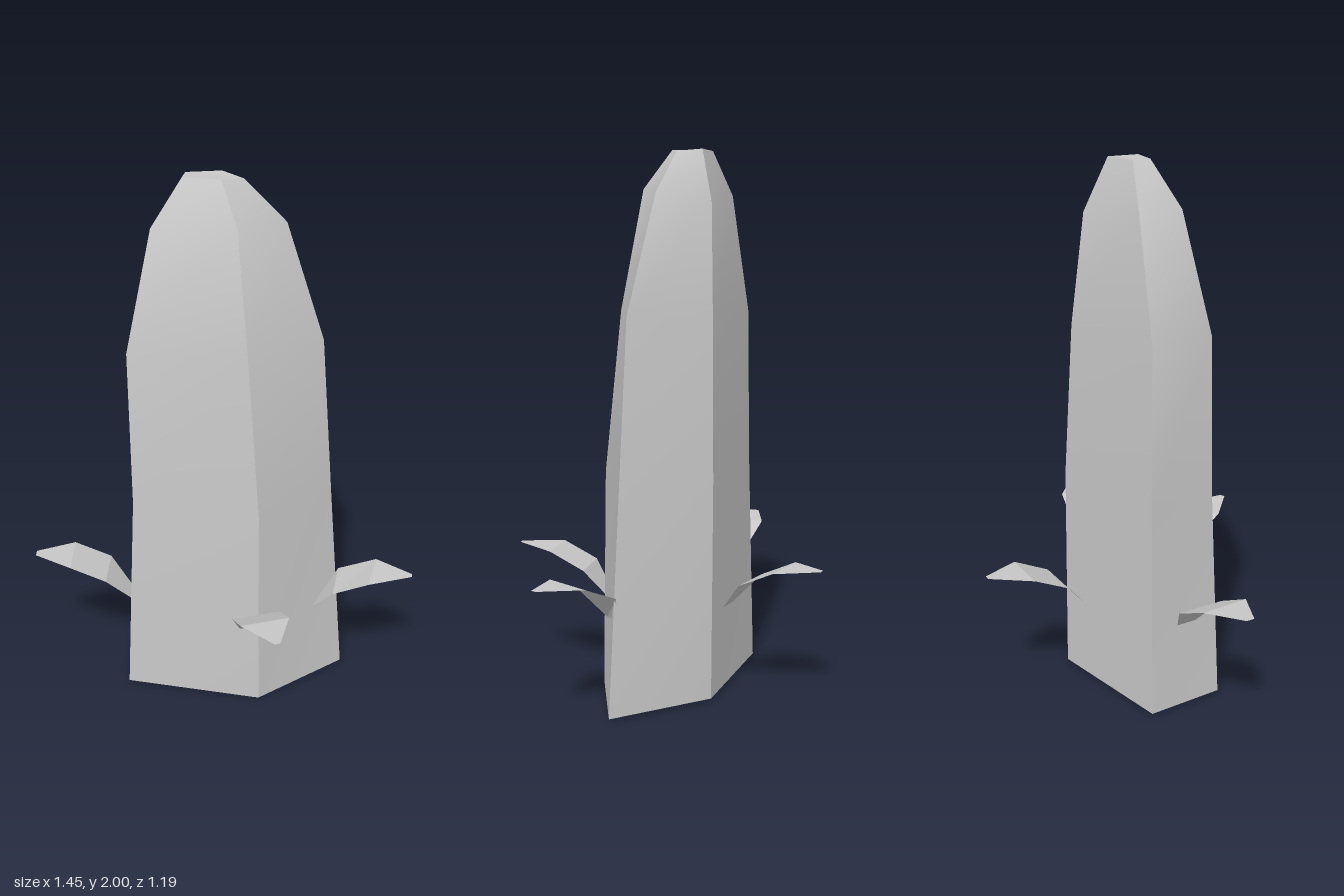
import * as THREE from 'three';
import { toCreasedNormals } from 'three/addons/utils/BufferGeometryUtils.js';

const grey = new THREE.MeshStandardMaterial({ color: 0xc8c8c8, side: THREE.DoubleSide });
grey.name = 'pale grey';

// Joins equal-length cross-sections into a surface; closed ones wrap round and get caps
function loft(rings, closed) {
  const n = rings[0].length, index = [];
  for (let r = 0; r < rings.length - 1; r++) {
    for (let j = 0; j < (closed ? n : n - 1); j++) {
      const k = (j + 1) % n, a = r * n + j, b = r * n + k;
      index.push(a, b, b + n, a, b + n, a + n);
    }
  }
  if (closed) {
    const top = (rings.length - 1) * n;
    for (let j = 1; j < n - 1; j++) index.push(0, j + 1, j, top, top + j, top + j + 1);
  }
  const g = new THREE.BufferGeometry();
  g.setAttribute('position', new THREE.Float32BufferAttribute(rings.flat(2), 3));
  g.setIndex(index);
  return toCreasedNormals(g, closed ? 0.52 : 0.05);
}

function part(name, geometry) {
  const mesh = new THREE.Mesh(geometry, grey);
  mesh.name = name;
  return mesh;
}

export function createModel() {
  const model = new THREE.Group();
  model.name = 'spearShoot';

  // Five-sided tapering stalk: back left, front left, front, right, back corners
  model.add(part('stalk', loft([
    [[-0.37, 0.01, -0.14], [-0.365, 0.01, 0.16], [0.15, 0.0, 0.245], [0.485, 0.01, 0.01], [0.14, 0.01, -0.215]],
    [[-0.34, 0.82, -0.13], [-0.325, 0.82, 0.14], [0.14, 0.82, 0.235], [0.415, 0.82, 0.005], [0.13, 0.82, -0.215]],
    [[-0.33, 1.41, -0.125], [-0.33, 1.41, 0.12], [0.095, 1.42, 0.19], [0.365, 1.42, 0], [0.1, 1.4, -0.195]],
    [[-0.22, 1.84, -0.11], [-0.24, 1.84, 0.05], [0.055, 1.86, 0.115], [0.225, 1.84, -0.035], [0.055, 1.81, -0.165]],
    [[-0.125, 2, -0.075], [-0.133, 2, -0.01], [0, 2, 0.025], [0.075, 1.99, -0.035], [0, 2, -0.098]],
  ], true)));

  // Four bent leaves: each row holds the two edge points [x, z, x, z] from root to tip
  const heights = [0.335, 0.445, 0.51, 0.52];
  const leaves = {
    leftLeaf: [[0.355, 0.097, 0.385, 0.035], [0.428, 0.171, 0.46, -0.008], [0.556, 0.202, 0.603, 0.023], [0.724, 0.16, 0.728, 0.14]],
    rightLeaf: [[-0.35, -0.02, -0.35, 0.06], [-0.444, -0.078, -0.447, 0.107], [-0.584, -0.074, -0.58, 0.113], [-0.724, 0.008, -0.724, 0.04]],
    frontLeaf: [[0.075, 0.25, 0.15, 0.225], [0.047, 0.34, 0.222, 0.288], [0.078, 0.47, 0.253, 0.416], [0.198, 0.588, 0.218, 0.58]],
    backLeaf: [[0.055, -0.22, -0.015, -0.22], [0.113, -0.31, -0.068, -0.318], [0.12, -0.447, -0.066, -0.455], [0.047, -0.6, 0.023, -0.6]],
  };
  for (const [name, rows] of Object.entries(leaves)) {
    const rings = rows.map(([x1, z1, x2, z2], i) => [[x1, heights[i], z1], [x2, heights[i], z2]]);
    model.add(part(name, loft(rings, false)));
  }
  return model;
}
